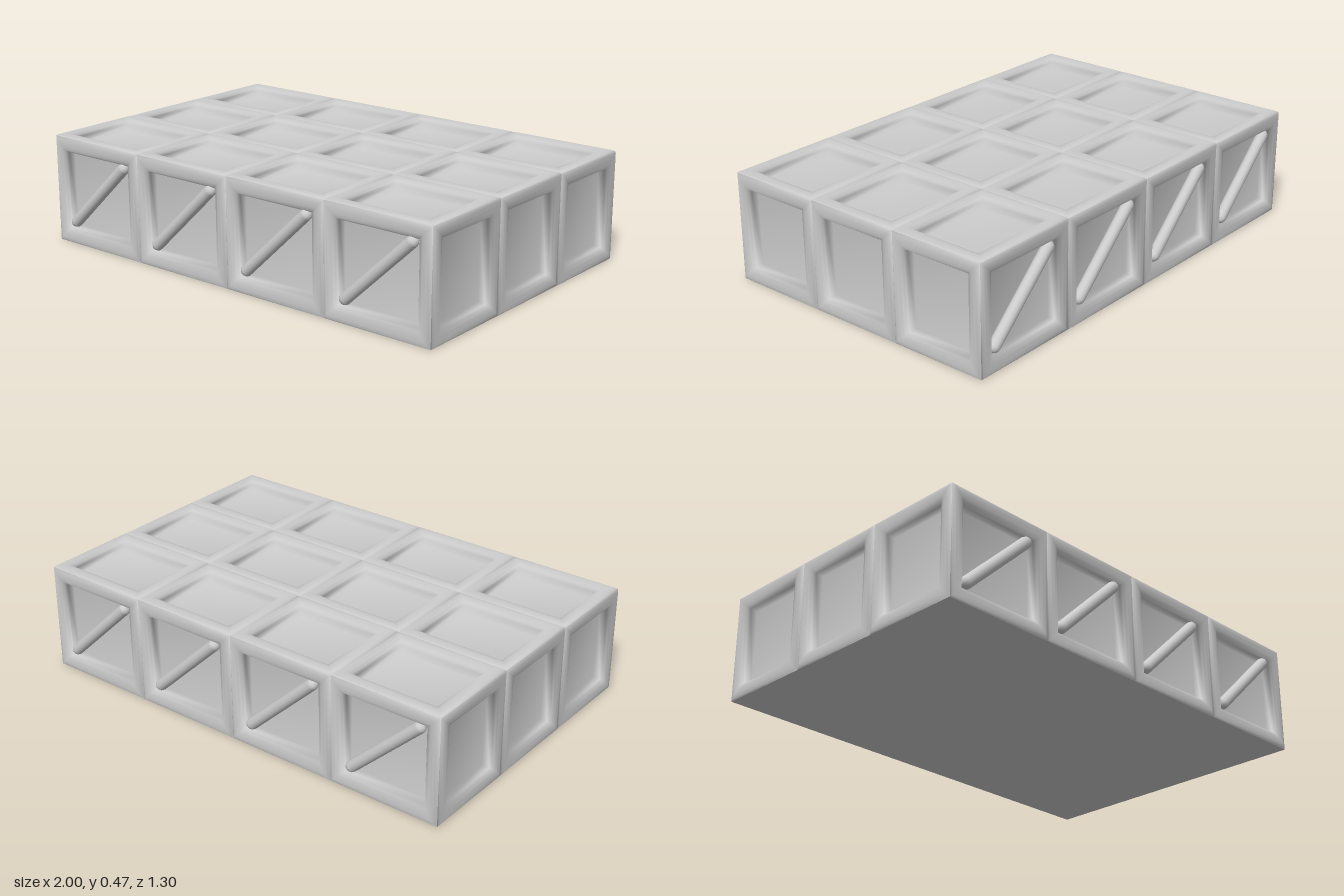
import * as THREE from 'three';

const W = 1.984, D = 1.286, H = 0.467; // seam-level size; frames bulge slightly beyond it
const COLS = 4, ROWS = 3;
const material = new THREE.MeshStandardMaterial({ color: 0xcccccc });

// Frame profile from the seam inward: [inset, height above the seam plane]
const PROFILE = [
  [0, 0], [0.006, 0.005], [0.02, 0.008], [0.04, 0.006],
  [0.056, 0], [0.065, -0.012], [0.071, -0.04],
];

// Framed, recessed panel facing +z, made of nested rectangular rings
function panelGeometry(w, h) {
  const pos = [], index = [];
  PROFILE.forEach(([inset, z], r) => {
    const x = w / 2 - inset, y = h / 2 - inset;
    pos.push(-x, -y, z, x, -y, z, x, y, z, -x, y, z);
    if (r === 0) return;
    for (let i = 0; i < 4; i++) {
      const a = (r - 1) * 4 + i, b = (r - 1) * 4 + (i + 1) % 4;
      index.push(a, b, b + 4, a, b + 4, a + 4);
    }
  });
  const f = (PROFILE.length - 1) * 4;
  index.push(f, f + 1, f + 2, f, f + 2, f + 3);
  const g = new THREE.BufferGeometry();
  g.setAttribute('position', new THREE.Float32BufferAttribute(pos, 3));
  g.setIndex(index);
  g.computeVertexNormals();
  return g;
}

// Face of the block: a grid of panels, with optional diagonal braces
function face(name, w, h, cols, rows, braced) {
  const group = new THREE.Group();
  group.name = name;
  const cw = w / cols, ch = h / rows;
  const panel = panelGeometry(cw, ch);
  const bar = new THREE.CapsuleGeometry(0.025, 0.42, 4, 12);
  for (let c = 0; c < cols; c++) {
    for (let r = 0; r < rows; r++) {
      const x = (c + 0.5) * cw - w / 2, y = (r + 0.5) * ch - h / 2;
      const p = new THREE.Mesh(panel, material);
      p.name = 'cratePanel';
      p.position.set(x, y, 0);
      group.add(p);
      if (braced) {
        const b = new THREE.Mesh(bar, material);
        b.name = 'diagonalBrace';
        b.position.set(x - 0.005, y + 0.006, -0.017);
        b.rotation.z = -Math.PI / 4 - 0.026;
        group.add(b);
      }
    }
  }
  return group;
}

export function createModel() {
  const model = new THREE.Group();
  model.name = 'crateStack';

  // Braced front and back, plain left and right sides
  for (const s of [1, -1]) {
    const long = face(s > 0 ? 'frontFace' : 'backFace', W, H, COLS, 1, true);
    long.position.set(0, H / 2, s * D / 2);
    long.rotation.y = s > 0 ? 0 : Math.PI;
    const short = face(s > 0 ? 'leftSide' : 'rightSide', D, H, ROWS, 1, false);
    short.position.set(s * W / 2, H / 2, 0);
    short.rotation.y = s * Math.PI / 2;
    model.add(long, short);
  }

  // Crate lids
  const top = face('topFace', W, D, COLS, ROWS, false);
  top.position.y = H;
  top.rotation.x = -Math.PI / 2;

  // Flat underside
  const base = new THREE.Mesh(new THREE.PlaneGeometry(W, D), material);
  base.name = 'underside';
  base.rotation.x = Math.PI / 2;
  model.add(top, base);
  return model;
}
